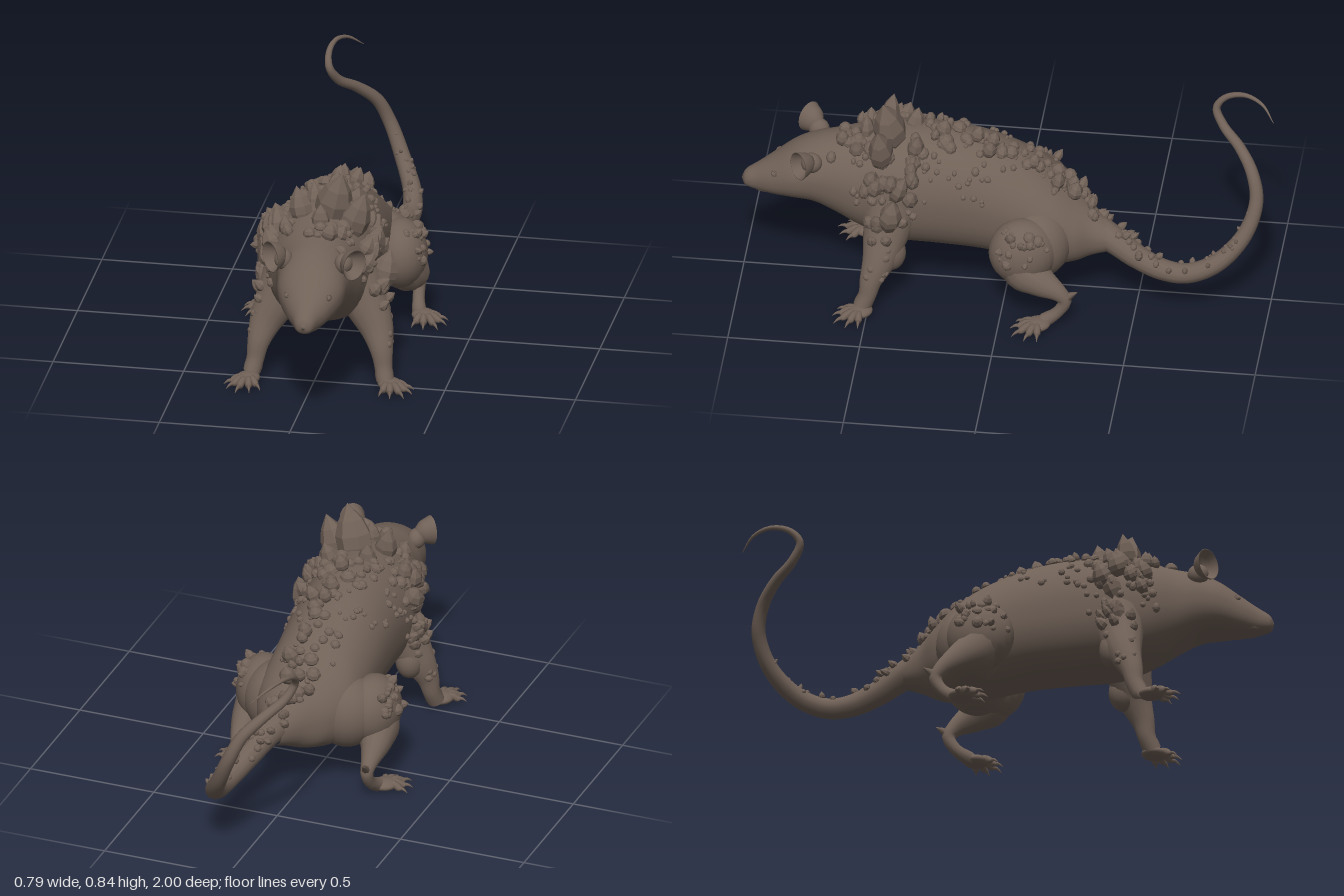
import * as THREE from 'three';
import { mergeGeometries } from 'three/addons/utils/BufferGeometryUtils.js';
import { ParametricGeometry } from 'three/addons/geometries/ParametricGeometry.js';

const V = (x, y, z) => new THREE.Vector3(x, y, z);
const UP = V(0, 1, 0);

let seed = 7;
const rnd = (a = 0, b = 1) => {
  seed = (seed * 16807) % 2147483647;
  return a + (b - a) * (seed / 2147483647);
};

// Body stations: z, top, bottom | centre x, half width
const stations = [
  [1.0, .437, .423, .05, .006], [.985, .465, .402, .05, .032], [.94, .496, .39, .048, .054],
  [.88, .538, .385, .045, .088], [.8, .595, .383, .04, .124], [.72, .63, .37, .035, .136],
  [.64, .648, .33, .03, .15], [.54, .665, .27, .015, .182], [.42, .685, .225, .01, .206],
  [.25, .688, .21, .005, .202], [.08, .655, .195, 0, .198], [-.08, .59, .165, 0, .195],
  [-.19, .515, .16, .005, .192], [-.27, .445, .18, .025, .15], [-.33, .395, .21, .05, .092], [-.4, .345, .24, .075, .053],
];
const heights = new THREE.CatmullRomCurve3(stations.map(s => V(s[0], s[1], s[2])), false, 'catmullrom', .5);
const widths = new THREE.CatmullRomCurve3(stations.map(s => V(s[3], s[4], 0)), false, 'catmullrom', .5);

// Point on the body skin; angle 0 is the spine, positive toward +x; the underside is squarer
function skin(t, a, target = V()) {
  const h = heights.getPoint(t), w = widths.getPoint(t);
  const e = Math.cos(a) < 0 ? .85 : 1;
  const soft = q => Math.sign(q) * Math.pow(Math.abs(q), e);
  return target.set(w.x + w.y * soft(Math.sin(a)), (h.y + h.z) / 2 + (h.y - h.z) / 2 * soft(Math.cos(a)), h.x);
}
function tAt(z) {
  let lo = 0, hi = 1;
  for (let i = 0; i < 24; i++) {
    const m = (lo + hi) / 2;
    if (heights.getPoint(m).x > z) lo = m; else hi = m;
  }
  return lo;
}
function skinNormal(t, a) {
  const h = heights.getPoint(t), w = widths.getPoint(t);
  return V(Math.sin(a) / w.y, Math.cos(a) * 2 / (h.y - h.z), 0).normalize();
}

// Tube through [x, y, z, radius] points
function limb(pts, n = 24, sides = 14) {
  const curve = new THREE.CatmullRomCurve3(pts.map(p => V(p[0], p[1], p[2])));
  const radii = new THREE.CatmullRomCurve3(pts.map(p => V(p[3], 0, 0)), false, 'catmullrom', .5);
  const geo = new THREE.TubeGeometry(curve, n, 1, sides);
  const pos = geo.attributes.position, v = V();
  for (let i = 0; i <= n; i++) {
    const c = curve.getPointAt(i / n);
    const r = Math.max(.001, radii.getPoint(curve.getUtoTmapping(i / n)).x);
    for (let j = 0; j <= sides; j++) {
      const k = i * (sides + 1) + j;
      v.fromBufferAttribute(pos, k).sub(c).multiplyScalar(r).add(c);
      pos.setXYZ(k, v.x, v.y, v.z);
    }
  }
  return { geo, curve };
}

function ball(x, y, z, rx, ry, rz, turn = 0) {
  return new THREE.SphereGeometry(1, 24, 16).scale(rx, ry, rz).rotateY(turn).translate(x, y, z);
}

// Faceted stone growing from a point along a direction
const profiles = {
  pebble: [[.7, -.4], [1, .1], [.85, .55], [.45, .88], [0, 1]],
  shard: [[.65, -.35], [.98, .3], [1, .8], [.7, 1.4], [0, 2.1]],
};
function stone(kind, p, dir, r, stretch = 1) {
  const prof = profiles[kind].map(q => new THREE.Vector2(q[0], q[1] * stretch));
  const geo = new THREE.LatheGeometry(prof, kind === 'shard' ? 7 : 8).toNonIndexed();
  geo.rotateY(rnd(0, 6)).scale(r * rnd(.9, 1.1), r, r * rnd(.75, 1));
  geo.applyQuaternion(new THREE.Quaternion().setFromUnitVectors(UP, dir.clone().normalize()));
  geo.translate(p.x, p.y, p.z);
  geo.computeVertexNormals();
  return geo;
}

export function createModel() {
  const model = new THREE.Group();
  const hide = new THREE.MeshStandardMaterial({ color: 0x706157 });
  hide.name = 'brown hide';
  const add = (name, geo) => {
    const mesh = new THREE.Mesh(Array.isArray(geo) ? mergeGeometries(geo) : geo, hide);
    mesh.name = name;
    model.add(mesh);
  };

  // Body, neck and head in one skin
  add('body', new ParametricGeometry((u, v, p) => skin(u, -2 * Math.PI * v, p), 90, 40));

  // Long curling tail
  const tail = limb([
    [.045, .32, -.3, .075], [.08, .29, -.4, .055], [.115, .24, -.5, .047], [.14, .205, -.6, .042],
    [.148, .2, -.7, .039], [.13, .245, -.81, .036], [.075, .34, -.905, .031], [.02, .46, -.945, .027],
    [-.025, .555, -.925, .024], [-.09, .625, -.87, .021], [-.15, .68, -.8, .018], [-.18, .74, -.77, .015],
    [-.188, .785, -.805, .012], [-.175, .808, -.88, .009], [-.14, .793, -.95, .006], [-.09, .748, -.997, .001],
  ], 110, 12);
  add('tail', tail.geo);

  // Nose, lip and eyes
  add('nose', ball(.05, .43, .976, .02, .015, .017));
  add('lowerJaw', ball(.048, .403, .9, .05, .016, .065));
  for (const s of [1, -1]) {
    const t = tAt(.87), p = skin(t, s * 1.05);
    add('eye', ball(p.x, p.y, p.z, .009, .011, .012));
    add('eyelid', new THREE.TorusGeometry(.012, .003, 6, 14).rotateY(s * .95).translate(p.x, p.y, p.z));
  }

  // Cupped ears, narrowing back into the head
  const earProfile = [[0, -.05], [.02, -.045], [.04, -.022], [.053, .018], [.05, .019], [.036, -.01], [.02, -.024], [0, -.028]]
    .map(p => new THREE.Vector2(p[0], p[1]));
  for (const s of [1, -1]) {
    const ear = new THREE.LatheGeometry(earProfile, 20).scale(.95, 1, 1.15);
    ear.rotateX(Math.PI / 2).rotateZ(-s * .25).rotateY(s * .75);
    ear.translate(.043 + s * .148, .608 - s * .005, .755);
    add('ear', ear);
    add('earRoot', ball(.04 + s * .115, .59, .725, .035, .04, .04));
  }

  // Splayed toes with claws
  function paw(name, x, z, s, heading, spread, length) {
    const parts = [];
    for (let i = 0; i < 5; i++) {
      const a = s * (heading + (i / 4 - .5) * spread);
      const l = length * (1 - .1 * Math.abs(i - 2));
      const at = (d, y, r) => [x + Math.sin(a) * d, y, z + Math.cos(a) * d, r];
      parts.push(limb([at(.01, .026, .014), at(l * .45, .031, .014), at(l * .75, .018, .013), at(l * .9, .016, .001)], 10, 8).geo);
      parts.push(limb([at(l * .78, .019, .009), at(l * .95, .018, .006), at(l * 1.16, .006, .0005)], 6, 6).geo);
    }
    parts.push(ball(x, .025, z, .045, .022, .05, s * heading));
    add(name, parts);
  }

  for (const s of [1, -1]) {
    // Front leg with its elbow
    const X = d => s * d + .02;
    add('frontLeg', limb([
      [X(.1), .48, .4, .06], [X(.128), .41, .42, .1], [X(.17), .31, .44, .086], [X(.212), .22, .46, .064],
      [X(.236), .14, .488, .043], [X(.245), .08, .5, .034], [X(.255), .035, .52, .034], [X(.26), .015, .53, .01]]).geo);
    add('elbow', ball(X(.19), .245, .42, .055, .075, .06));
    paw('frontPaw', s * .268 + .026, .545 - s * .02, s, .45 + s * .2, 1.9, .1);

    // Hind leg: hip, haunch, shank and foot
    add('hip', ball(s * .14 + .005, .3, -.13, .13, .145, .13));
    add('haunch', ball(s * .22, .3, -.085, .105, .135, .13, s * .2));
    add('hindLeg', limb([
      [s * .21, .34, -.06, .06], [s * .24, .24, -.09, .088], [s * .26, .195, -.155, .062], [s * .265, .15, -.225, .034],
      [s * .263, .115, -.25, .025], [s * .265, .06, -.22, .023], [s * .278, .028, -.17, .027], [s * .295, .022, -.14, .01]]).geo);
    add('hockSpur', limb([[s * .264, .125, -.25, .02], [s * .265, .145, -.275, .012], [s * .268, .16, -.298, .001]], 6, 8).geo);
    paw('hindPaw', s * .298, -.15, s, .65, 2, .1);
  }

  // Scatter stones over a patch of the body skin
  function patch(count, z0, z1, a0, a1, r0, r1, shardShare, lean) {
    const out = [];
    for (let i = 0; i < count; i++) {
      const t = tAt(rnd(z0, z1)), a = rnd(a0, a1);
      const dir = skinNormal(t, a).add(lean);
      const r = r0 + (r1 - r0) * Math.pow(rnd(), 1.5);
      out.push(stone(rnd() < shardShare ? 'shard' : 'pebble', skin(t, a), dir, r));
    }
    return out;
  }

  add('spineStones', [
    ...patch(60, -.34, .3, -.5, .5, .016, .034, .25, V(0, .2, -.35)),
    ...patch(30, -.3, .35, -1, 1, .009, .018, 0, V(0, 0, 0)),
    ...patch(32, .3, .68, -.75, .75, .016, .034, .3, V(0, .3, -.1)),
  ]);
  for (const s of [1, -1]) {
    add('shoulderStones', [
      ...patch(16, .34, .56, s * .75, s * 1.5, .024, .04, .7, V(-s * .3, .8, -.45)),
      ...patch(30, .28, .58, s * .7, s * 1.8, .011, .022, .1, V(0, 0, 0)),
    ]);
    add('flankStones', patch(12, .05, .3, s * .8, s * 1.4, .009, .015, 0, V(0, 0, 0)));

    // Stones on the outer front leg and haunch
    const leg = [], hip = [];
    for (let i = 0; i < 20; i++) {
      const k = rnd(), a = rnd(-.9, .9), rad = .093 - .05 * k;
      const d = V(s * Math.cos(a), .25, Math.sin(a));
      const p = V(s * (.13 + .1 * k) + .02 + d.x * rad, .4 - .24 * k, .425 + .05 * k + d.z * rad);
      leg.push(stone(k < .4 ? 'shard' : 'pebble', p, d.add(V(0, .6 - .5 * k, -.3)), rnd(.013, .028) * (1.1 - .5 * k)));
    }
    for (let i = 0; i < 24; i++) {
      const e = rnd(-.1, 1), a = rnd(-1, 1);
      const d = V(s * Math.cos(e) * Math.cos(a), Math.sin(e), Math.cos(e) * Math.sin(a));
      const p = V(s * .22 + d.x * .1, .3 + d.y * .13, -.085 + d.z * .125);
      hip.push(stone(rnd() < .25 ? 'shard' : 'pebble', p, d, rnd(.012, .024)));
    }
    add('frontLegStones', leg);
    add('haunchStones', hip);
  }

  // Small thorns along the tail
  const thorns = [];
  for (let i = 0; i < 38; i++) {
    const u = .02 + .5 * Math.pow(rnd(), 1.6);
    const tan = tail.curve.getTangentAt(u);
    const side = V(tan.z, 0, -tan.x).normalize();
    const top = side.clone().cross(tan).normalize();
    if (top.y < 0) top.negate();
    const a = rnd(-1.1, 1.1);
    const dir = top.multiplyScalar(Math.cos(a)).addScaledVector(side, Math.sin(a));
    const p = tail.curve.getPointAt(u).addScaledVector(dir, .052 - .055 * u);
    thorns.push(stone(rnd() < .5 ? 'shard' : 'pebble', p, dir.addScaledVector(tan, .4), .02 - .026 * u));
  }
  add('tailThorns', thorns);

  // Largest crystals: base, tip, radius
  const crystals = [
    [.05, .65, .43, .1, .84, .46, .07], [.13, .61, .46, .19, .77, .47, .06], [.03, .65, .53, .03, .74, .53, .032],
    [-.05, .65, .46, -.08, .77, .44, .042], [-.02, .65, .36, -.03, .75, .34, .04], [.11, .64, .34, .14, .73, .32, .042],
    [.245, .4, .42, .275, .52, .4, .046], [.2, .5, .4, .23, .6, .36, .04], [.1, .62, .56, .13, .67, .56, .032],
    [-.14, .58, .45, -.16, .675, .42, .04], [-.18, .47, .42, -.2, .57, .38, .04], [-.2, .37, .44, -.205, .46, .42, .036],
    [.18, .52, .5, .2, .6, .48, .034], [-.1, .62, .53, -.11, .68, .53, .03],
  ].map(([x, y, z, u, v, w, r]) => {
    const d = V(u - x, v - y, w - z);
    return stone('shard', V(x, y, z), d, r, d.length() / (2.1 * r));
  });
  add('largeCrystals', crystals);

  return model;
}
